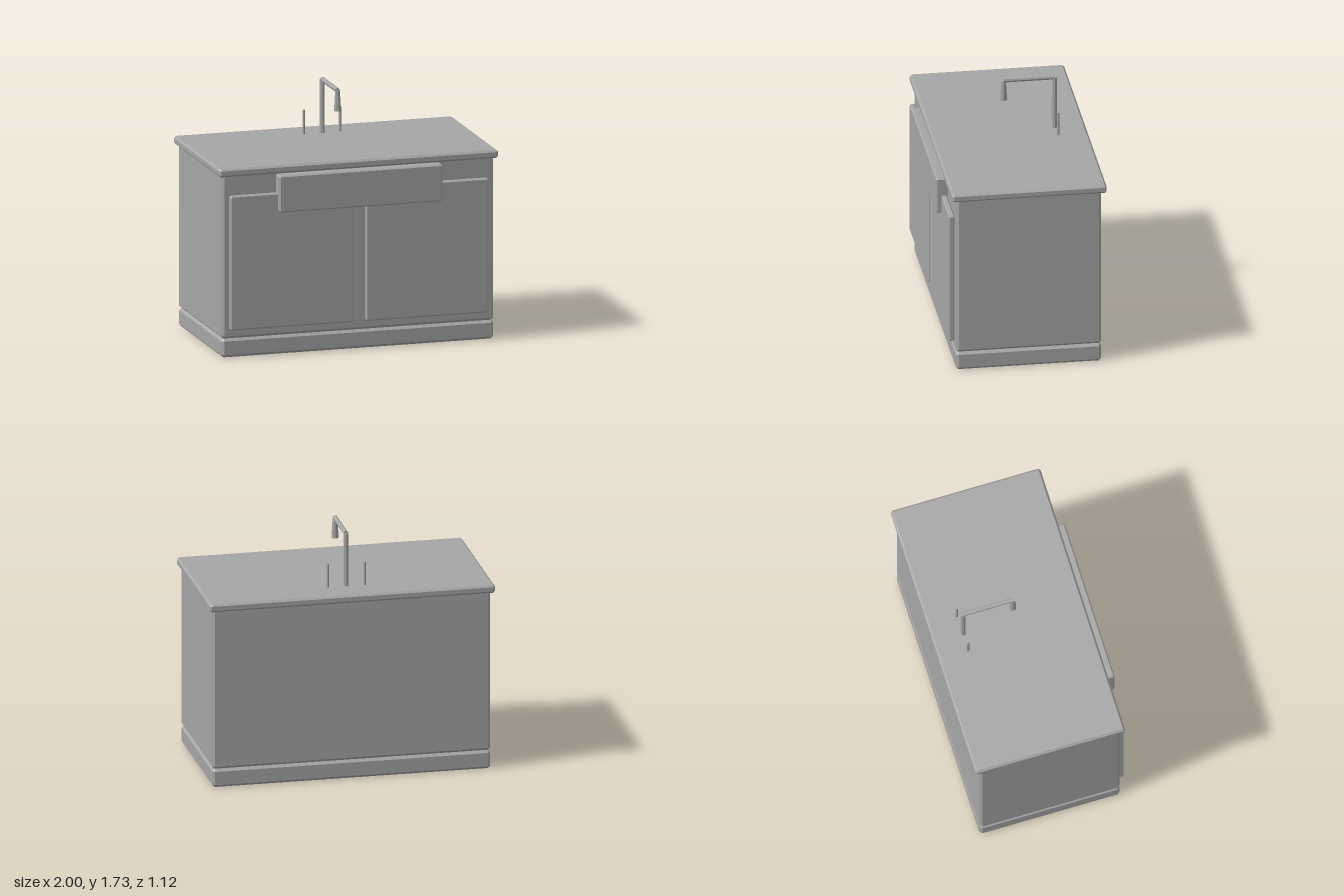
import * as THREE from 'three';
import { ConvexGeometry } from 'three/addons/geometries/ConvexGeometry.js';

export function createModel() {
  const group = new THREE.Group();
  const grey = new THREE.MeshStandardMaterial({ color: 0xa6a6a6 });
  grey.name = 'grey';

  const add = (name, geometry, x = 0, y = 0, z = 0) => {
    const mesh = new THREE.Mesh(geometry, grey);
    mesh.name = name;
    mesh.position.set(x, y, z);
    group.add(mesh);
    return mesh;
  };

  // Box between two corners with every edge cut back by c
  const chamferBox = (name, min, max, c) => {
    const half = min.map((v, i) => (max[i] - v) / 2);
    const points = [];
    for (const sx of [-1, 1]) for (const sy of [-1, 1]) for (const sz of [-1, 1]) {
      for (let axis = 0; axis < 3; axis++) {
        const p = [sx, sy, sz].map((s, i) => s * (half[i] - (i === axis ? 0 : c)));
        points.push(new THREE.Vector3(...p));
      }
    }
    return add(name, new ConvexGeometry(points), ...min.map((v, i) => v + half[i]));
  };

  // Faceted upright tube from y0 to y1
  const post = (name, rTop, rBottom, x, z, y0, y1) => {
    const geometry = new THREE.CylinderGeometry(rTop, rBottom, y1 - y0, 8).toNonIndexed();
    geometry.computeVertexNormals();
    return add(name, geometry, x, (y0 + y1) / 2, z);
  };

  // Cabinet
  chamferBox('plinth', [-0.975, 0, -0.525], [0.975, 0.132, 0.48], 0.018);
  chamferBox('cabinetBody', [-0.975, 0.132, -0.525], [0.975, 1.29, 0.48], 0.018);
  chamferBox('countertop', [-1, 1.275, -0.56], [1, 1.333, 0.51], 0.014);

  // Doors and sink front
  chamferBox('leftDoor', [0.047, 0.198, 0.482], [0.925, 1.142, 0.523], 0.009);
  chamferBox('rightDoor', [-0.925, 0.198, 0.482], [-0.047, 1.142, 0.523], 0.009);
  chamferBox('sinkFront', [-0.585, 1.012, 0.45], [0.585, 1.27, 0.56], 0.009);

  // Tap
  post('tapColumn', 0.018, 0.018, 0, -0.346, 1.32, 1.708);
  const arm = post('tapArm', 0.017, 0.017, 0, 0, 0, 0.355);
  arm.rotation.x = Math.PI / 2;
  arm.position.set(0, 1.709, -0.168);
  post('tapSpout', 0.017, 0.026, 0, 0.008, 1.565, 1.708);
  for (const side of [1, -1]) {
    post(side > 0 ? 'leftTapHandle' : 'rightTapHandle', 0.01, 0.01, side * 0.13, -0.352, 1.32, 1.5);
  }

  return group;
}
